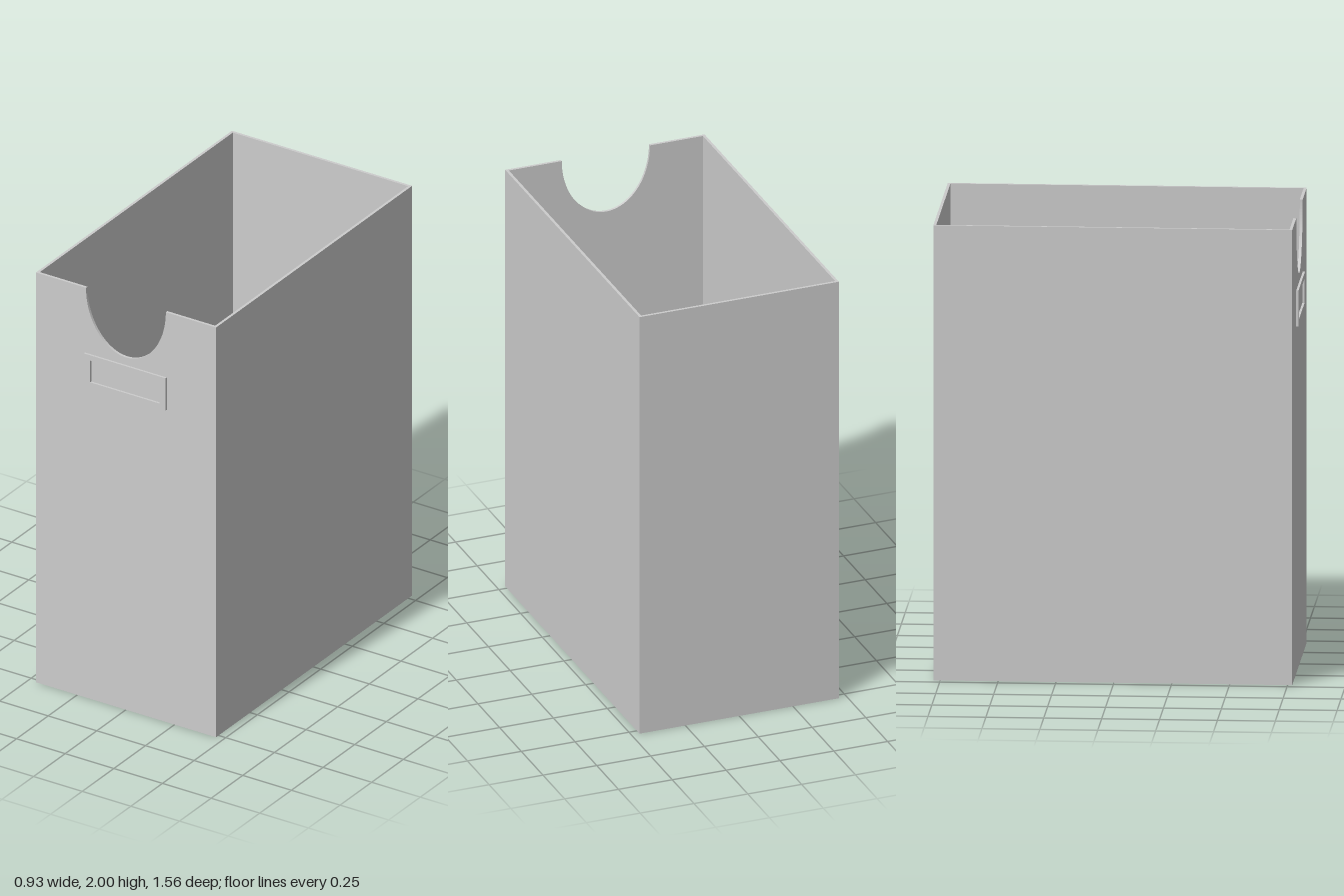
import * as THREE from 'three';

const W = 0.463, BACK = -0.78, FRONT = 0.77, H = 2, T = 0.0125;

export function createModel() {
  const group = new THREE.Group();
  group.name = 'magazineBox';
  const grey = new THREE.MeshStandardMaterial({ color: 0xcccccc });
  grey.name = 'lightGrey';

  const add = (name, geometry, x, y, z) => {
    const mesh = new THREE.Mesh(geometry, grey);
    mesh.name = name;
    mesh.position.set(x, y, z);
    group.add(mesh);
  };
  const plate = (shape, depth) =>
    new THREE.ExtrudeGeometry(shape, { depth, bevelEnabled: false, curveSegments: 32 });

  // Floor, back and two side walls, butted together without overlap
  const inner = FRONT - BACK - 2 * T, midZ = (FRONT + BACK) / 2;
  add('floor', new THREE.BoxGeometry(2 * (W - T), T, inner), 0, T / 2, midZ);
  add('backWall', new THREE.BoxGeometry(2 * W, H, T), 0, H / 2, BACK + T / 2);
  for (const [name, side] of [['leftWall', 1], ['rightWall', -1]])
    add(name, new THREE.BoxGeometry(T, H, inner), side * (W - T / 2), H / 2, midZ);

  // Front wall with a half-oval finger notch in its top edge
  const front = new THREE.Shape();
  front.moveTo(-W, 0);
  front.lineTo(W, 0);
  front.lineTo(W, H);
  front.lineTo(0.205, H);
  front.absellipse(0, H, 0.205, 0.28, 0, Math.PI, true);
  front.lineTo(-W, H);
  front.closePath();
  add('frontWall', plate(front, T), 0, 0, FRONT - T);

  // Raised label frame with an open window
  const rect = (path, w, h) => {
    path.moveTo(-w, -h);
    path.lineTo(w, -h);
    path.lineTo(w, h);
    path.lineTo(-w, h);
    path.closePath();
    return path;
  };
  const frame = rect(new THREE.Shape(), 0.21, 0.079);
  frame.holes.push(rect(new THREE.Path(), 0.178, 0.053));
  add('labelFrame', plate(frame, 0.01), 0, 1.604, FRONT);

  return group;
}
